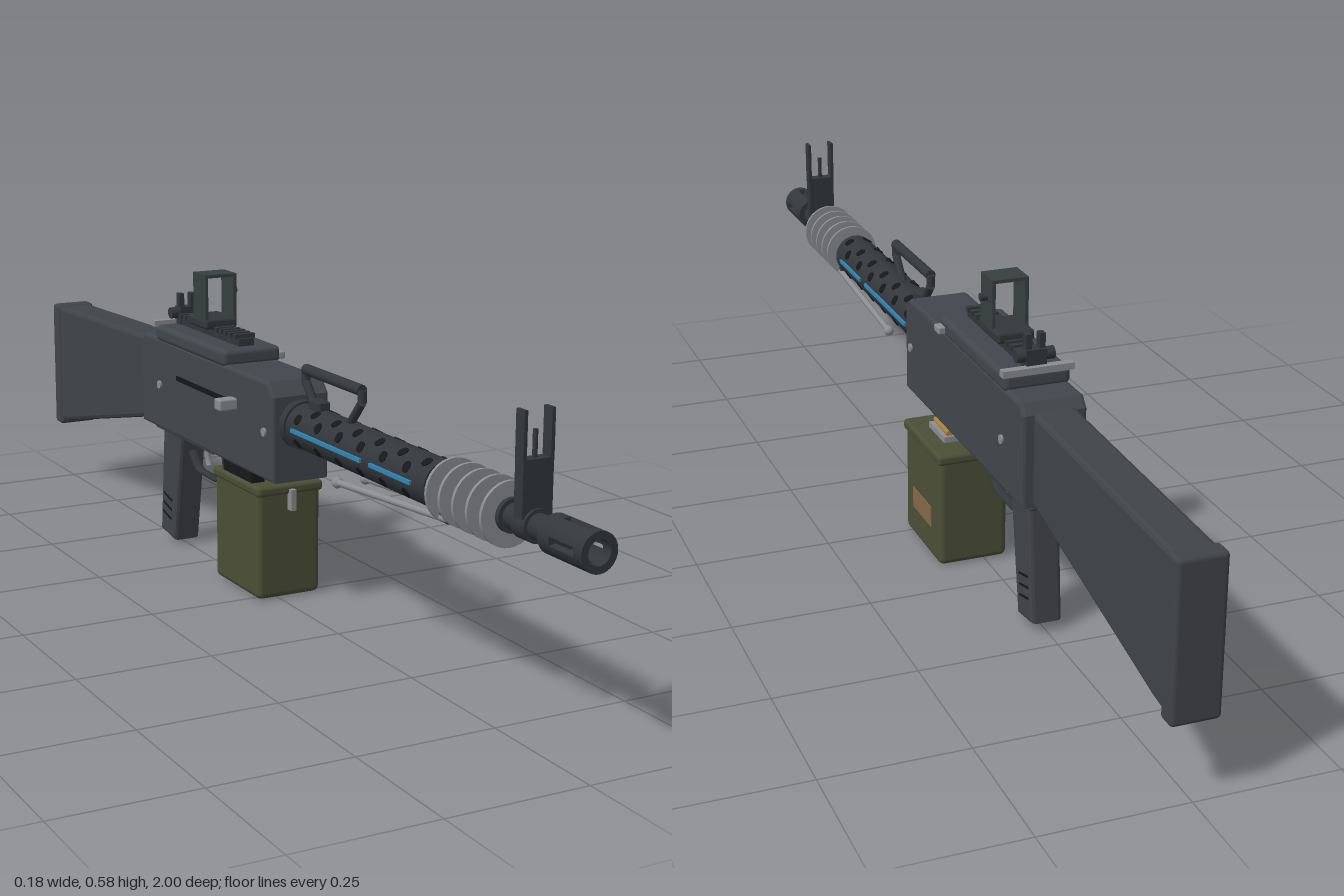
import * as THREE from 'three';
import { RoundedBoxGeometry } from 'three/addons/geometries/RoundedBoxGeometry.js';

const paint = (name, color) => {
  const m = new THREE.MeshStandardMaterial({ color });
  m.name = name;
  return m;
};

export function createModel() {
  const gun = new THREE.Group();
  gun.name = 'beltFedGun';
  const gunmetal = paint('gunmetal', 0x42474d);
  const polymer = paint('polymer', 0x404348);
  const dark = paint('darkSteel', 0x33373b);
  const steel = paint('brightSteel', 0x8b8d92);
  const black = paint('holeBlack', 0x16181b);
  const olive = paint('olive', 0x4b4f36);
  const tan = paint('tanLabel', 0x86694a);
  const blue = paint('blueStrip', 0x2f86b5);
  const brass = paint('brass', 0xa8823c);
  const sightGreen = paint('sightCasing', 0x37403f);
  const AXIS = 0.353; // bore height

  const add = (name, geo, mat, parent = gun) => {
    const m = new THREE.Mesh(geo, mat);
    m.name = name;
    parent.add(m);
    return m;
  };
  // box given by its limits, optionally rounded
  const box = (name, mat, [x0, x1], [y0, y1], [z0, z1], r = 0) => {
    const s = [x1 - x0, y1 - y0, Math.abs(z1 - z0)];
    const g = r ? new RoundedBoxGeometry(...s, 3, r) : new THREE.BoxGeometry(...s);
    return add(name, g.translate((x0 + x1) / 2, (y0 + y1) / 2, (z0 + z1) / 2), mat);
  };
  // round bar between two points
  const rod = (name, mat, a, b, r, r2 = r, seg = 20) => {
    const p = new THREE.Vector3(...a), q = new THREE.Vector3(...b);
    const d = q.clone().sub(p);
    const m = add(name, new THREE.CylinderGeometry(r2, r, d.length(), seg), mat);
    m.position.copy(p).add(q).multiplyScalar(0.5);
    m.quaternion.setFromUnitVectors(new THREE.Vector3(0, 1, 0), d.normalize());
    return m;
  };
  const barrelPart = (name, mat, r, z0, z1, seg = 32) => rod(name, mat, [0, AXIS, z0], [0, AXIS, z1], r, r, seg);
  // side profile of [z, y] points, extruded across x with a bevel
  const slab = (name, mat, pts, width, bevel) => {
    const shape = new THREE.Shape(pts.map(p => new THREE.Vector2(...p)));
    const depth = width - 2 * bevel;
    const g = new THREE.ExtrudeGeometry(shape, {
      depth, bevelEnabled: bevel > 0, bevelSize: bevel, bevelOffset: -bevel, bevelThickness: bevel, bevelSegments: 2,
    });
    return add(name, g.translate(0, 0, -depth / 2).rotateY(-Math.PI / 2), mat);
  };

  // receiver and feed cover
  slab('receiver', gunmetal, [[0.107, 0.247], [0.107, 0.405], [0.083, 0.43], [-0.455, 0.43], [-0.47, 0.412], [-0.47, 0.247]], 0.114, 0.006);
  box('feedCover', gunmetal, [-0.06, 0.06], [0.425, 0.457], [-0.395, -0.085], 0.01);
  box('lowerFrame', gunmetal, [-0.035, 0.035], [0.232, 0.25], [-0.455, -0.19], 0.005);
  box('coverHingePin', steel, [-0.064, 0.064], [0.453, 0.465], [-0.4, -0.385]);
  box('coverLatch', steel, [0.055, 0.072], [0.43, 0.444], [-0.115, -0.09], 0.003);
  box('chargingHandle', steel, [-0.093, -0.055], [0.355, 0.377], [-0.06, -0.035], 0.004);
  box('handleSlot', black, [-0.0585, -0.056], [0.36, 0.37], [-0.3, -0.06]);
  for (const s of [-1, 1]) for (const z of [0.075, -0.38])
    rod('receiverPin', steel, [s * 0.055, 0.337, z], [s * 0.061, 0.337, z], 0.008);

  // barrel, shroud and cooling fins
  barrelPart('shroudCollar', dark, 0.045, 0.1, 0.125);
  barrelPart('barrelShroud', dark, 0.041, 0.107, 0.592);
  barrelPart('barrelSleeve', dark, 0.028, 0.59, 0.785);
  barrelPart('barrel', dark, 0.021, 0.78, 0.9);
  barrelPart('sightCollar', dark, 0.027, 0.815, 0.85);
  for (let i = 0; i < 5; i++) barrelPart('coolingFin', steel, 0.053, 0.614 + i * 0.039, 0.62 + i * 0.039);

  // staggered vent holes
  [[32, 0], [148, 0], [62, 1], [118, 1], [-32, 0], [-148, 0]].forEach(([deg, odd]) => {
    const a = deg * Math.PI / 180, c = Math.cos(a), s = Math.sin(a);
    for (let i = 0; i < 6; i++) {
      const z = 0.16 + i * 0.074 + odd * 0.037;
      rod('ventHole', black, [c * 0.036, AXIS + s * 0.036, z], [c * 0.042, AXIS + s * 0.042, z], 0.01, 0.01, 12);
    }
  });
  for (const s of [-1, 1]) for (const [z0, z1] of [[0.15, 0.395], [0.425, 0.555]])
    box('sideStrip', blue, [s * 0.0425 - 0.0025, s * 0.0425 + 0.0025], [0.351, 0.358], [z0, z1]);

  // flash hider: solid root, four prongs and a front ring
  barrelPart('hiderRoot', dark, 0.032, 0.892, 0.92);
  const hiderPiece = (name, a0, a1, z0, z1) => {
    const sh = new THREE.Shape();
    sh.absarc(0, 0, 0.032, a0, a1, false);
    sh.absarc(0, 0, 0.02, a1, a0, true);
    const g = new THREE.ExtrudeGeometry(sh, { depth: z1 - z0, bevelEnabled: false, curveSegments: 10 });
    add(name, g.translate(0, AXIS, z0), dark);
  };
  for (let i = 0; i < 4; i++) {
    const q = i * Math.PI / 2;
    hiderPiece('hiderProng', q + 0.22, q + Math.PI / 2 - 0.22, 0.918, 0.982);
    hiderPiece('hiderRing', q, q + Math.PI / 2, 0.98, 1);
  }

  // front sight
  box('frontSightBase', dark, [-0.027, 0.027], [0.365, 0.455], [0.823, 0.845]);
  for (const s of [-1, 1]) box('frontSightEar', dark, [s * 0.0245 - 0.003, s * 0.0245 + 0.003], [0.45, 0.53], [0.823, 0.845]);
  rod('frontSightPost', dark, [0, 0.45, 0.834], [0, 0.498, 0.834], 0.004);

  // carry handle
  const handle = [[0, 0.39, 0.285], [0, 0.435, 0.325], [0, 0.456, 0.325], [0, 0.456, 0.125], [0, 0.435, 0.125], [0, 0.39, 0.165]];
  for (let i = 0; i < 5; i++) rod('carryHandle', dark, handle[i], handle[i + 1], i === 2 ? 0.01 : 0.008, i === 2 ? 0.01 : 0.008, 12);
  box('handleClamp', dark, [-0.012, 0.012], [0.385, 0.41], [0.155, 0.195], 0.004);

  // folded bipod
  box('bipodMount', dark, [-0.028, 0.028], [0.305, 0.335], [0.6, 0.645], 0.005);
  for (const s of [-1, 1]) {
    rod('bipodLeg', steel, [s * 0.024, 0.313, 0.64], [s * 0.028, 0.291, 0.29], 0.006, 0.006, 12);
    const foot = add('bipodFoot', new THREE.SphereGeometry(0.01, 14, 10), steel);
    foot.position.set(s * 0.028, 0.291, 0.292);
  }

  // top rail with teeth, hollow sight and rear sight
  box('topRail', dark, [-0.016, 0.016], [0.455, 0.471], [-0.375, -0.11]);
  for (let i = 0; i < 13; i++) box('railTooth', dark, [-0.021, 0.021], [0.47, 0.479], [-0.127 - i * 0.02, -0.116 - i * 0.02]);
  box('sightBase', dark, [-0.034, 0.034], [0.472, 0.492], [-0.3, -0.215], 0.006);
  for (const s of [-1, 1]) box('sightWall', sightGreen, [s * 0.03 - 0.003, s * 0.03 + 0.003], [0.488, 0.577], [-0.272, -0.218]);
  box('sightRoof', sightGreen, [-0.033, 0.033], [0.571, 0.577], [-0.272, -0.218]);
  rod('sightKnob', dark, [0.032, 0.541, -0.245], [0.045, 0.541, -0.245], 0.007);
  rod('rearSightDrum', dark, [-0.034, 0.48, -0.378], [0.034, 0.48, -0.378], 0.011);
  box('rearSightBase', dark, [-0.018, 0.018], [0.455, 0.492], [-0.39, -0.365]);
  for (const s of [-1, 1]) box('rearSightPost', dark, [s * 0.012 - 0.005, s * 0.012 + 0.005], [0.485, 0.518], [-0.385, -0.37]);

  // stock and butt plate
  slab('stock', polymer, [[-0.465, 0.252], [-0.465, 0.415], [-0.97, 0.401], [-0.97, 0.142], [-0.93, 0.147]], 0.076, 0.008);
  box('buttPlate', polymer, [-0.042, 0.042], [0.132, 0.404], [-1, -0.963], 0.008);

  // pistol grip with side ribs
  slab('grip', polymer, [[-0.345, 0.245], [-0.385, 0.008], [-0.452, 0.018], [-0.432, 0.245]], 0.056, 0.007);
  for (const s of [-1, 1]) for (const y of [0.055, 0.075, 0.095]) {
    const rib = add('gripRib', new THREE.BoxGeometry(0.003, 0.004, 0.04), black);
    rib.position.set(s * 0.0278, y, -0.422 + y * 0.1);
    rib.rotation.x = 0.25;
  }

  // trigger and guard
  const guard = new THREE.CatmullRomCurve3(
    [[0.238, -0.2], [0.195, -0.2], [0.172, -0.22], [0.168, -0.28], [0.172, -0.32], [0.2, -0.35]].map(p => new THREE.Vector3(0, ...p)));
  add('triggerGuard', new THREE.TubeGeometry(guard, 30, 0.005, 8), dark).scale.x = 2;
  const pull = new THREE.QuadraticBezierCurve3(new THREE.Vector3(0, 0.238, -0.27), new THREE.Vector3(0, 0.21, -0.29), new THREE.Vector3(0, 0.187, -0.275));
  add('trigger', new THREE.TubeGeometry(pull, 12, 0.006, 8), steel);

  // ammunition box and feed
  box('ammoBox', olive, [-0.043, 0.088], [0, 0.21], [-0.162, 0.022], 0.012);
  box('ammoBoxLid', olive, [-0.046, 0.091], [0.199, 0.219], [-0.166, 0.027], 0.007);
  box('ammoLabel', tan, [0.086, 0.0895], [0.06, 0.1], [-0.118, -0.022]);
  box('boxLatch', steel, [0.018, 0.028], [0.17, 0.21], [0.02, 0.038]);
  box('feedPlate', steel, [-0.015, 0.06], [0.217, 0.23], [-0.11, -0.03]);
  box('boxBracket', black, [-0.04, -0.014], [0.215, 0.25], [-0.13, -0.01]);
  box('feedThroat', dark, [-0.014, 0.035], [0.228, 0.25], [-0.11, -0.03]);
  for (let i = 0; i < 3; i++) rod('cartridge', brass, [0.03 + i * 0.009, 0.238 - i * 0.002, -0.105], [0.03 + i * 0.009, 0.238 - i * 0.002, -0.03], 0.006, 0.004, 12);

  return gun;
}
